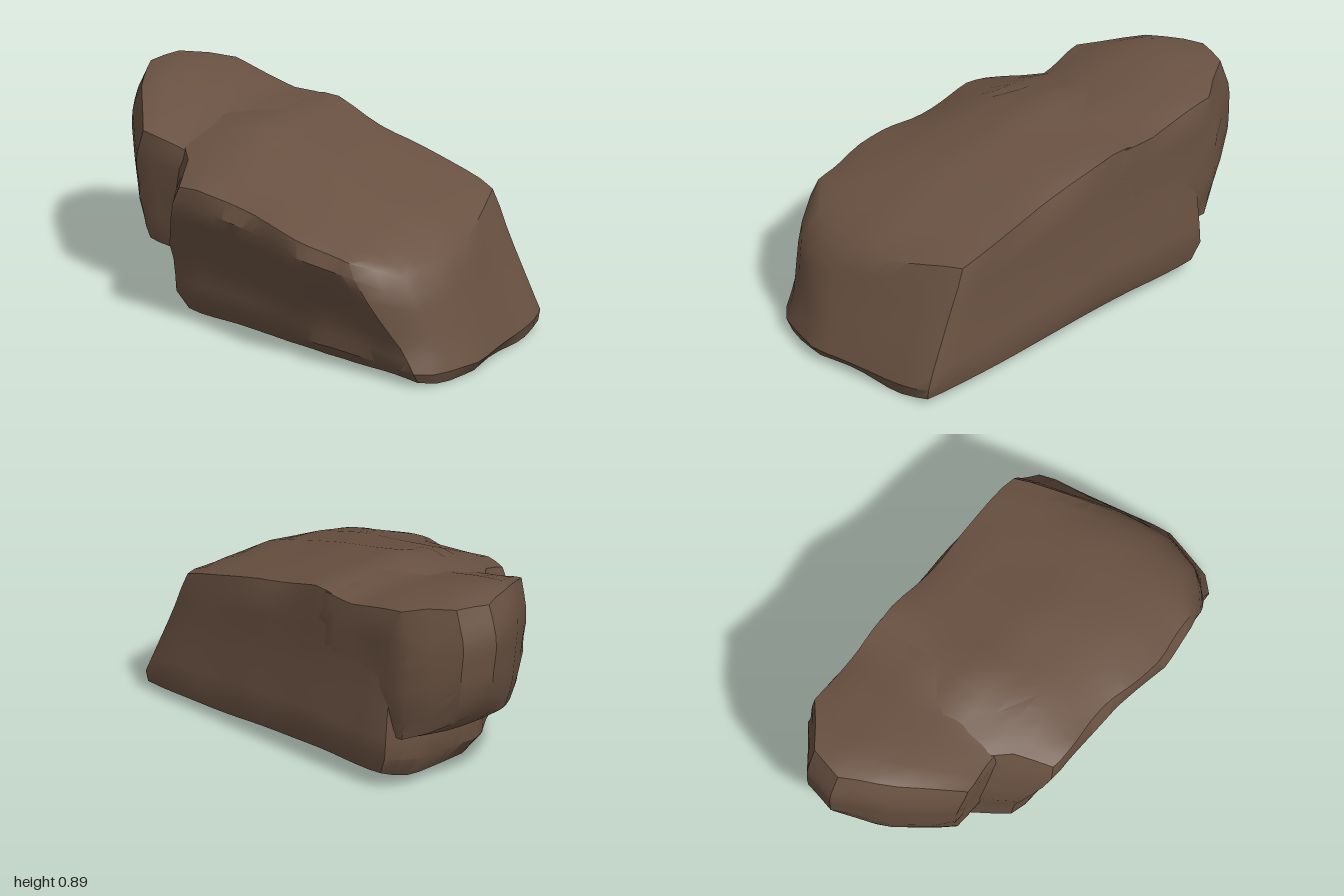
import * as THREE from 'three';
import { mergeVertices, toCreasedNormals } from 'three/addons/utils/BufferGeometryUtils.js';

// Piecewise-linear profile through [position, value] pairs in rising order
function profile(t, pts) {
  if (t <= pts[0][0]) return pts[0][1];
  for (let i = 1; i < pts.length; i++) {
    const [a, va] = pts[i - 1], [b, vb] = pts[i];
    if (t <= b) return va + (vb - va) * (t - a) / (b - a);
  }
  return pts[pts.length - 1][1];
}
const mix = THREE.MathUtils.lerp;
const wobble = (a, b, c) => Math.sin(a * 7.3 + b * 4.1 + 1) * Math.sin(b * 6.7 - c * 5.3 + 2) * Math.cos(c * 8.9 + a * 3.7);

// Chipped block: a gridded cube with worn edges, reshaped by place(u, v, w)
function rockGeometry(segments, place) {
  let geo = new THREE.BoxGeometry(2, 2, 2, ...segments);
  geo.deleteAttribute('uv');
  geo.deleteAttribute('normal');
  geo = mergeVertices(geo);
  const pos = geo.attributes.position;
  for (let i = 0; i < pos.count; i++) {
    const p = [pos.getX(i), pos.getY(i), pos.getZ(i)];
    const chip = 1.95 + 0.04 * Math.sin(i * 12.9);
    for (const [a, b] of [[0, 1], [1, 2], [0, 2]]) {
      const cut = Math.max(0, Math.abs(p[a]) + Math.abs(p[b]) - chip) / 2;
      p[a] -= Math.sign(p[a]) * cut;
      p[b] -= Math.sign(p[b]) * cut;
    }
    const [x, y, z] = place(...p.map((c) => (c + 1) / 2));
    const n = 0.006 * wobble(x, y, z);
    pos.setXYZ(i, x + n, Math.max(0, y + n), z - n);
  }
  return toCreasedNormals(geo, 0.6);
}

// Long main boulder: sloping front, high back, leaning left flank
function placeBody(u, v, w) {
  const front = profile(u, [[0, 0.89], [0.08, 0.94], [0.35, 1], [1, 0.875]])
    + profile(v, [[0, -0.01], [0.125, 0], [0.5, -0.06], [1, -0.14]])
    - v * v * profile(u, [[0, 0.16], [0.17, 0], [0.6, 0], [1, 0.09]]);
  const back = mix(
    profile(u, [[0, -0.42], [0.2, -0.55], [0.38, -0.69], [0.85, -0.7], [1, -0.66]]),
    profile(u, [[0, -0.3], [0.2, -0.39], [0.38, -0.69], [1, -0.7]]),
    profile(v, [[0.5, 0], [1, 1]]),
  ) + profile(v, [[0, 0.05], [0.125, 0]]);
  const z = mix(back, front, w);
  const left = profile(z, [[-0.53, -0.43], [-0.35, -0.47], [0.1, -0.485], [0.38, -0.53], [0.65, -0.5], [0.92, -0.5]])
    + profile(v, [[0, 0.17], [0.125, 0.13], [0.35, 0.115], [0.85, 0], [1, 0.01]]) * profile(z, [[0.5, 1], [0.9, 0.85]]);
  const right = profile(v, [[0, 0.51], [0.125, 0.52], [0.6, 0.495], [1, 0.485]]);
  const tilt = profile(z, [[-0.2, 1], [0.6, 0.45]]);
  const top = profile(z, [[-0.7, 0.77], [-0.45, 0.8], [-0.2, 0.83], [0.2, 0.735], [0.65, 0.605], [0.86, 0.48]])
    + tilt * profile(u, [[0, -0.16], [0.25, -0.06], [0.5, 0], [1, -0.03]]);
  const base = profile(z, [[-0.7, 0.05], [-0.4, 0.03], [0.9, 0.005]])
    + profile(u, [[0, 0.01], [0.15, 0], [0.8, 0], [1, 0.03]]);
  return [mix(left, right, u), mix(base, top, v), z];
}

// Overhanging lump at the back
function placeLump(u, v, w) {
  const back = profile(u, [[0, -0.69], [0.33, -0.9], [0.6, -1], [0.8, -0.96], [1, -0.76]])
    + profile(v, [[0, 0.06], [0.25, 0.02], [0.7, 0], [1, 0.05]]);
  const z = mix(back, -0.2, w);
  const top = profile(z, [[-1, 0.84], [-0.92, 0.885], [-0.8, 0.89], [-0.6, 0.855], [-0.4, 0.81], [-0.2, 0.815]])
    + profile(u, [[0, -0.09], [0.33, -0.02], [0.6, 0], [1, -0.025]]);
  const base = profile(z, [[-0.96, 0.42], [-0.86, 0.31], [-0.7, 0.25]]);
  const left = profile(v, [[0, -0.22], [0.6, -0.25], [1, -0.26]]);
  const right = profile(v, [[0, 0.47], [0.3, 0.495], [1, 0.49]]);
  return [mix(left, right, u), mix(base, top, v), z];
}

export function createModel() {
  const group = new THREE.Group();
  group.name = 'rock';
  const stone = new THREE.MeshStandardMaterial({ color: 0x6a5242 });
  stone.name = 'brown stone';
  const add = (name, segments, place) => {
    const mesh = new THREE.Mesh(rockGeometry(segments, place), stone);
    mesh.name = name;
    group.add(mesh);
  };
  add('mainBoulder', [12, 8, 18], placeBody);
  add('backLump', [10, 8, 10], placeLump);
  return group;
}
